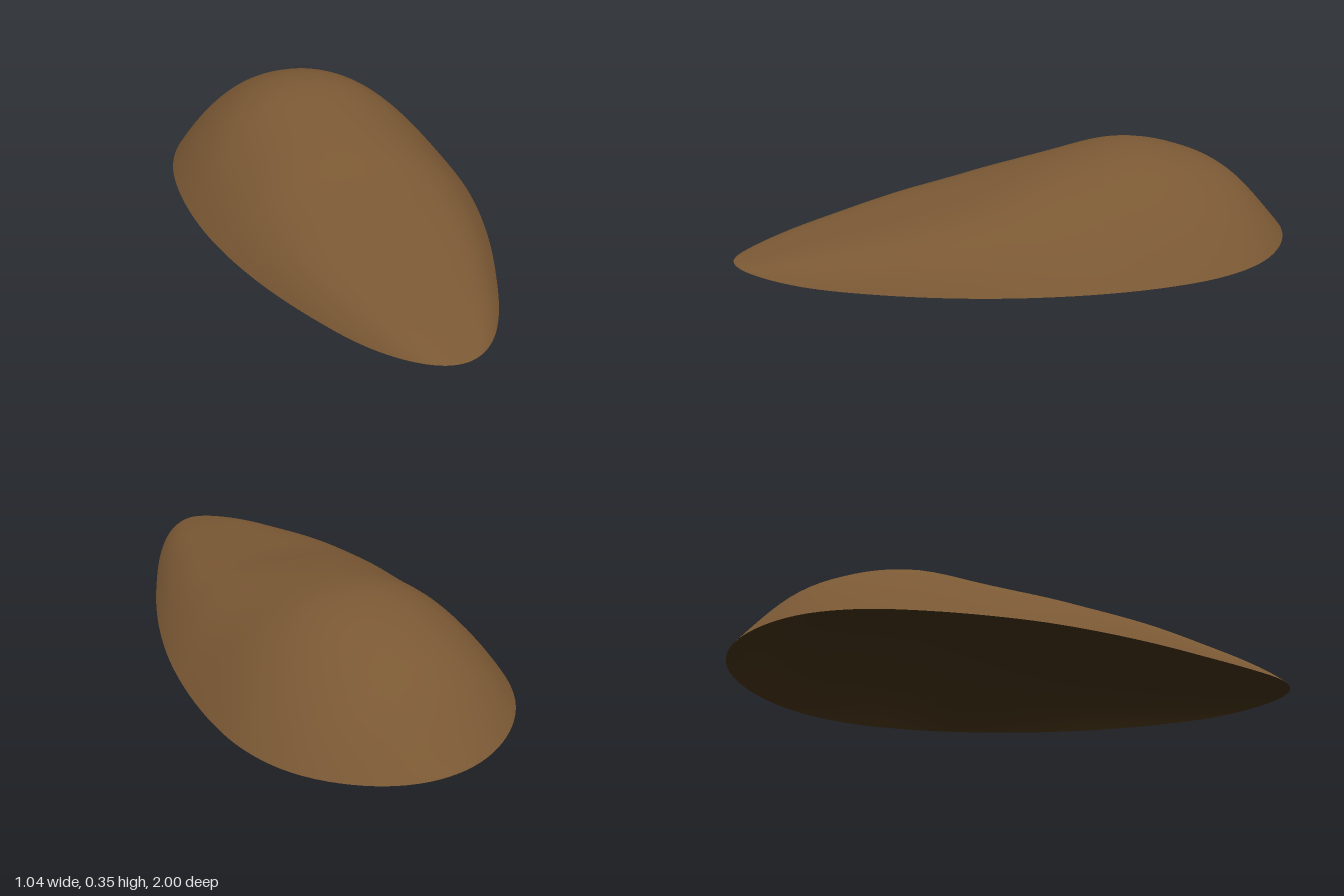
import * as THREE from 'three';

// Profiles sampled at equal steps from back (z = -1) to front (z = 1)
const profile = (values) =>
  new THREE.CatmullRomCurve3(values.map((v, i) => new THREE.Vector3(i, v, 0)), false, 'catmullrom');
const fullness = profile([0.64, 0.64, 0.605, 0.562, 0.527, 0.497, 0.465, 0.431, 0.395, 0.367, 0.34]);
const ridge = profile([0.008, 0.22, 0.318, 0.352, 0.322, 0.273, 0.217, 0.175, 0.135, 0.096, 0.046]);
const base = profile([0.006, 0.004, 0.002, 0.001, 0.002, 0.004, 0.005, 0.007, 0.011, 0.021, 0.044]);

const ROWS = 64;
const COLS = 48;

// Domed surface of cross-sections; rise scales its height above the rim
function domeSurface(rise, facesUp) {
  const positions = [];
  const index = [];
  for (let i = 0; i <= ROWS; i++) {
    const z = -Math.cos((i / ROWS) * Math.PI);
    const t = (z + 1) / 2;
    const halfWidth = fullness.getPoint(t).y * Math.sqrt(Math.max(0, 1 - z * z));
    const low = base.getPoint(t).y;
    const height = (ridge.getPoint(t).y - low) * rise;
    // Round at the back, flatter with steep sides at the front
    const power = 2.2 + 2.2 * THREE.MathUtils.smoothstep(t, 0.4, 0.78);
    for (let j = 0; j <= COLS; j++) {
      const u = -Math.cos((j / COLS) * Math.PI);
      positions.push(halfWidth * u, low + height * (1 - Math.pow(Math.abs(u), power)), z);
      if (i < ROWS && j < COLS) {
        const a = i * (COLS + 1) + j;
        const b = a + 1;
        const c = a + COLS + 1;
        const d = c + 1;
        if (facesUp) index.push(a, c, b, b, c, d);
        else index.push(a, b, c, b, d, c);
      }
    }
  }
  const geometry = new THREE.BufferGeometry();
  geometry.setAttribute('position', new THREE.Float32BufferAttribute(positions, 3));
  geometry.setIndex(index);
  geometry.computeVertexNormals();
  return geometry;
}

export function createModel() {
  const brown = new THREE.MeshStandardMaterial({ color: 0x7a5834 });
  brown.name = 'brown';
  const darkBrown = new THREE.MeshStandardMaterial({ color: 0x35260f });
  darkBrown.name = 'dark brown';

  // Outer skin of the hollow shell
  const outerShell = new THREE.Mesh(domeSurface(1, true), brown);
  outerShell.name = 'outerShell';

  // Dark hollow inside, meeting the outer skin at the rim
  const innerShell = new THREE.Mesh(domeSurface(0.96, false), darkBrown);
  innerShell.name = 'innerShell';

  const model = new THREE.Group();
  model.name = 'hollowShell';
  model.add(outerShell, innerShell);
  return model;
}
